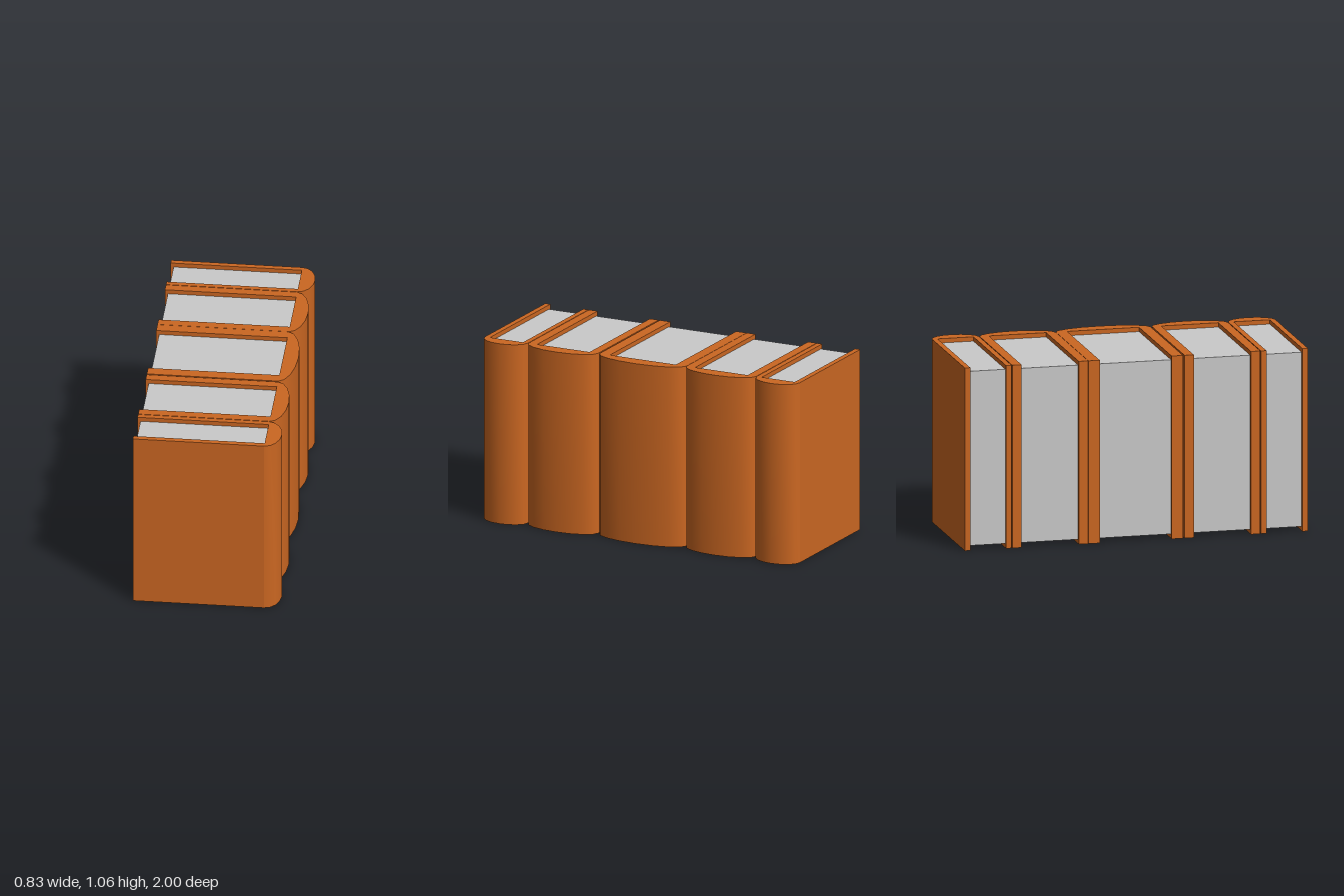
import * as THREE from 'three';
import { toCreasedNormals } from 'three/addons/utils/BufferGeometryUtils.js';

const HEIGHT = 1.06, BACK = -0.417, SPINE = 0.328, BULGE = 0.087, RECESS = 0.025;

// Each volume: z of its two outer faces and the thickness of its boards
const VOLUMES = [
  [-1, -0.727, 0.032],
  [-0.723, -0.281, 0.054],
  [-0.279, 0.272, 0.066],
  [0.281, 0.722, 0.054],
  [0.726, 1, 0.032],
];

const leather = new THREE.MeshStandardMaterial({ color: 0xcb6722 });
leather.name = 'orange cover';
const paper = new THREE.MeshStandardMaterial({ color: 0xcacaca });
paper.name = 'grey paper';

function box(name, material, x0, x1, y0, y1, z0, z1) {
  const mesh = new THREE.Mesh(new THREE.BoxGeometry(x1 - x0, y1 - y0, z1 - z0), material);
  mesh.position.set((x0 + x1) / 2, (y0 + y1) / 2, (z0 + z1) / 2);
  mesh.name = name;
  return mesh;
}

// Half-ellipse spine, extruded upwards
function makeSpine(z0, z1) {
  const half = (z1 - z0) / 2, points = [];
  for (let i = 0; i <= 8; i++) {
    const a = -Math.PI / 2 + (i / 8) * Math.PI;
    points.push(new THREE.Vector2(BULGE * Math.cos(a), half * Math.sin(a)));
  }
  const geometry = new THREE.ExtrudeGeometry(new THREE.Shape(points), { depth: HEIGHT, bevelEnabled: false });
  geometry.rotateX(-Math.PI / 2);
  const mesh = new THREE.Mesh(toCreasedNormals(geometry, 0.75), leather);
  mesh.position.set(SPINE, 0, (z0 + z1) / 2);
  mesh.name = 'spine';
  return mesh;
}

function makeBook([z0, z1, t]) {
  const book = new THREE.Group();
  book.add(
    box('backBoard', leather, BACK, SPINE, 0, HEIGHT, z0, z0 + t),
    box('frontBoard', leather, BACK, SPINE, 0, HEIGHT, z1 - t, z1),
    makeSpine(z0, z1),
    // Page block set in from the board edges
    box('pages', paper, BACK + 0.017, SPINE, RECESS, HEIGHT - RECESS, z0 + t, z1 - t),
  );
  return book;
}

export function createModel() {
  const model = new THREE.Group();
  model.name = 'bookRow';
  VOLUMES.forEach((volume, i) => {
    const book = makeBook(volume);
    book.name = `book${i + 1}`;
    model.add(book);
  });
  return model;
}
